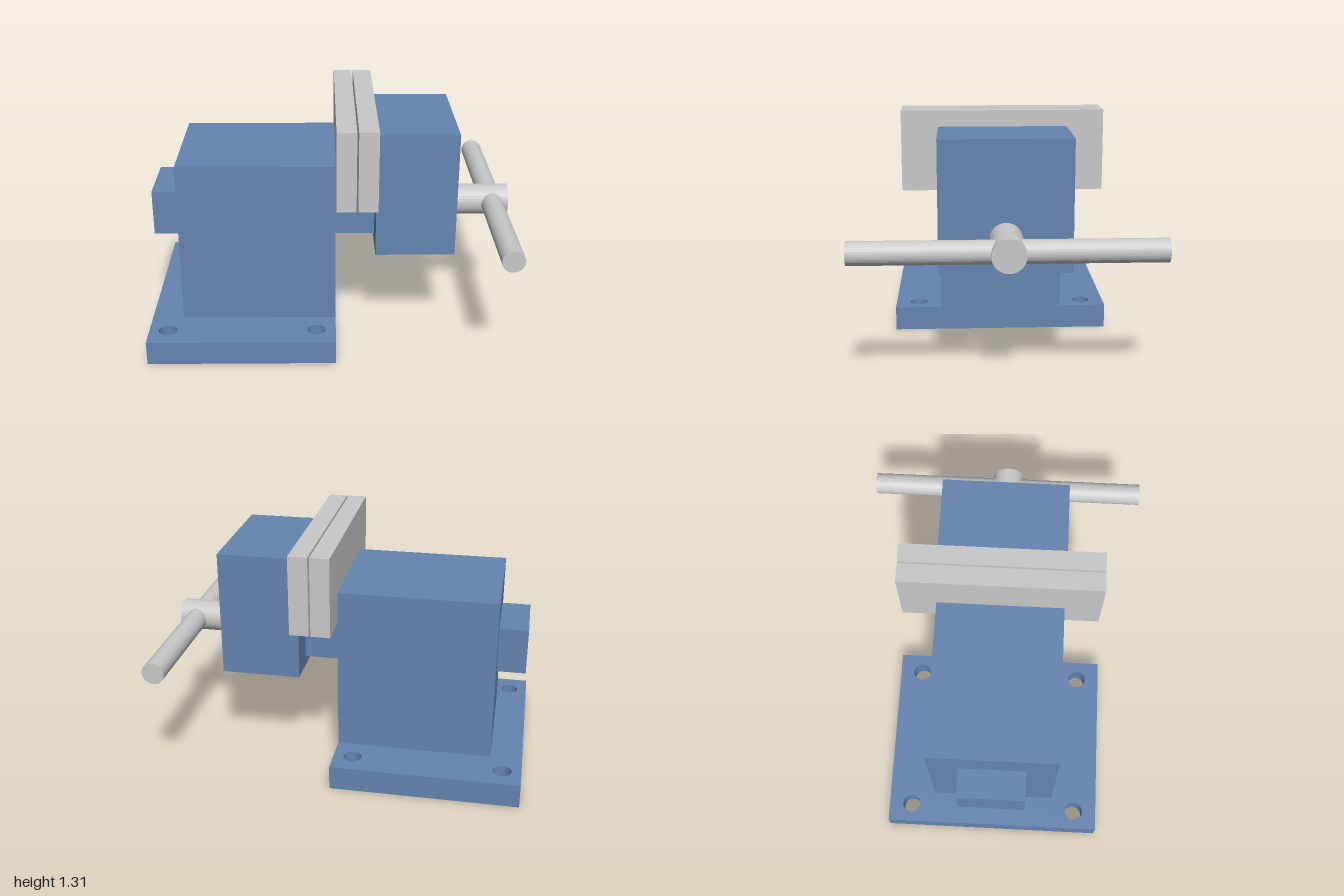
import * as THREE from 'three';

export function createModel() {
  const model = new THREE.Group();
  model.name = 'benchVise';

  const blue = new THREE.MeshStandardMaterial({ color: 0x6584b0 });
  blue.name = 'bluePaint';
  const steel = new THREE.MeshStandardMaterial({ color: 0xc8c8c8, flatShading: true });
  steel.name = 'steel';

  const add = (name, geometry, material) => {
    const mesh = new THREE.Mesh(geometry, material);
    mesh.name = name;
    model.add(mesh);
    return mesh;
  };

  // Box from x and y ranges, centred on z
  const block = (name, x0, x1, y0, y1, halfZ, material) =>
    add(name, new THREE.BoxGeometry(x1 - x0, y1 - y0, 2 * halfZ), material)
      .position.set((x0 + x1) / 2, (y0 + y1) / 2, 0);

  // Base plate with four bolt holes
  const plate = new THREE.Shape();
  plate.moveTo(-1, -0.607).lineTo(0.025, -0.607).lineTo(0.025, 0.607).lineTo(-1, 0.607).closePath();
  for (const x of [-0.897, -0.081]) {
    for (const z of [-0.478, 0.478]) {
      plate.holes.push(new THREE.Path().absarc(x, z, 0.05, 0, Math.PI * 2, true));
    }
  }
  const plateGeometry = new THREE.ExtrudeGeometry(plate, { depth: 0.134, bevelEnabled: false, curveSegments: 24 });
  plateGeometry.rotateX(-Math.PI / 2);
  add('basePlate', plateGeometry, blue);

  // Fixed body, sliding bar and moving jaw
  block('fixedBody', -0.826, 0.025, 0.134, 1.045, 0.345, blue);
  block('slideBarRear', -0.983, -0.826, 0.58, 0.835, 0.181, blue);
  block('slideBarFront', 0.025, 0.242, 0.58, 0.835, 0.181, blue);
  block('movingJaw', 0.242, 0.675, 0.526, 1.219, 0.345, blue);

  // Jaw plates with a narrow gap
  block('fixedJawPlate', 0.025, 0.129, 0.873, 1.306, 0.542, steel);
  block('movingJawPlate', 0.138, 0.242, 0.873, 1.306, 0.542, steel);

  // Clamping screw and cross handle
  const screw = new THREE.CylinderGeometry(0.086, 0.086, 0.325, 32);
  screw.rotateZ(Math.PI / 2);
  add('screw', screw, steel).position.set(0.8375, 0.707, 0);

  const handle = new THREE.CylinderGeometry(0.06, 0.06, 1.564, 32);
  handle.rotateX(Math.PI / 2);
  add('handle', handle, steel).position.set(0.911, 0.707, 0);

  return model;
}
